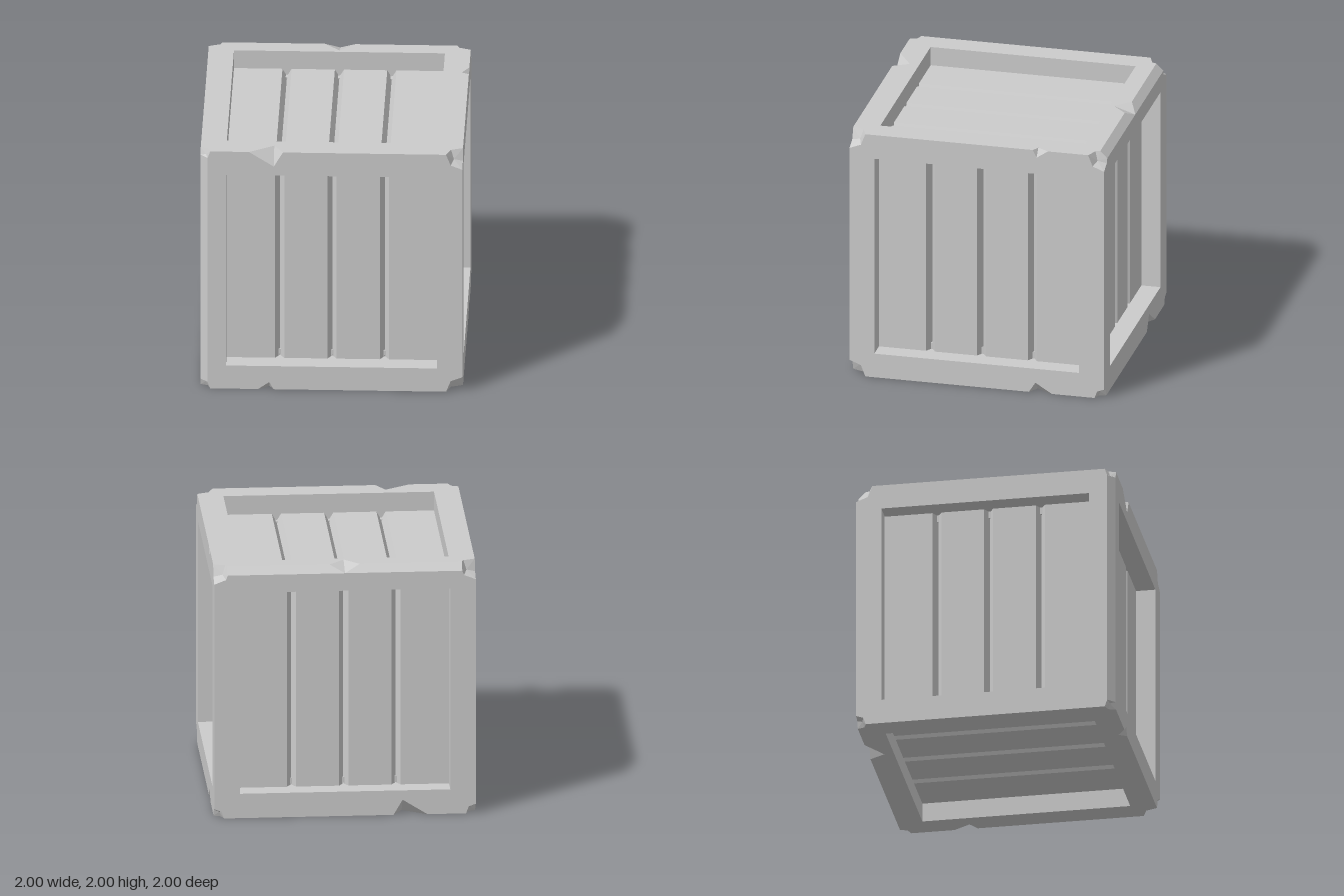
import * as THREE from 'three';

const WINDOW = 0.805; // half width of each framed opening
const RECESS = 0.15;  // depth of the panels behind the frame
const GROOVE = 0.06;  // depth of the V grooves between planks

// Edges and corners are keyed by their signs on x, y, z (0 = runs along that axis).
const bevels = { '-1,0,1': 0.055, '0,1,-1': 0.055 };
const bigChips = ['1,1,1', '1,-1,1', '1,1,-1', '-1,1,-1'];
// Edge nicks: start, deepest point, end, depth on the two faces sharing the edge
const nicks = {
  '0,1,1': [-0.63, -0.44, -0.37, 0.12, 0.12],
  '0,-1,-1': [-0.63, -0.44, -0.37, 0.12, 0.12],
  '0,-1,1': [-0.56, -0.475, -0.44, 0.06, 0.06],
  '1,1,0': [-0.56, -0.47, -0.44, 0.06, 0.055],
  '1,-1,0': [-0.59, -0.46, -0.41, 0.08, 0.08],
  '0,1,-1': [-0.115, 0, 0.115, 0.17, 0.055],
};
const SIGNS = [1, -1];

const edgeKey = (corner, axis) => corner.map((s, i) => (i === axis ? 0 : s)).join();
const chip = (corner) => (bigChips.includes(corner.join()) ? { e: 0.125, k: 0.09 } : { e: 0.075, k: 0.055 });

// Where a chipped corner meets an edge, as seen on one of the edge's faces
function edgePoint(corner, axis, face) {
  const { e, k } = chip(corner);
  const c = bevels[edgeKey(corner, axis)] || 0;
  const inset = [c, c, c];
  inset[axis] = e + (k - e) * (c / k);
  inset[face] = 0;
  return corner.map((s, i) => s * (1 - inset[i]));
}

// Inner bend of a chipped corner on a face
function bendPoint(corner, face) {
  const { k } = chip(corner);
  return corner.map((s, i) => (i === face ? s : s * (1 - k)));
}

// The three points of a nick on one face
function nickPoints(corner, axis, face) {
  const key = edgeKey(corner, axis);
  const n = nicks[key];
  if (!n) return [];
  const other = 3 - axis - face;
  const depth = n[face < other ? 3 : 4];
  const c = bevels[key] || 0;
  return [c, depth, c].map((d, j) => {
    const p = [...corner];
    p[axis] = n[j];
    p[other] *= 1 - d;
    return p;
  });
}

function createFrameGeometry() {
  const out = [];
  // Adds a triangle turned away from the centre (or towards it)
  const tri = (a, b, c, inward = false) => {
    const t = new THREE.Triangle(...[a, b, c].map((p) => new THREE.Vector3(...p)));
    if (t.getArea() < 1e-7) return;
    const facesOut = t.getNormal(new THREE.Vector3()).dot(t.getMidpoint(new THREE.Vector3())) > 0;
    out.push(...a, ...(facesOut !== inward ? [...b, ...c] : [...c, ...b]));
  };
  const quad = (a, b, c, d, inward) => { tri(a, b, c, inward); tri(a, c, d, inward); };

  // Six frame faces with a square opening and its side walls
  for (let f = 0; f < 3; f++) for (const s of SIGNS) {
    const u = (f + 1) % 3, v = (f + 2) % 3;
    const at = (x, y, w = 1) => { const p = []; p[f] = s * w; p[u] = x; p[v] = y; return p; };
    const outline = [];
    [[1, 1], [-1, 1], [-1, -1], [1, -1]].forEach(([x, y], i) => {
      const corner = at(x, y);
      const [arrive, leave] = i % 2 ? [u, v] : [v, u];
      outline.push(edgePoint(corner, arrive, f), bendPoint(corner, f), edgePoint(corner, leave, f));
      const pts = nickPoints(corner, leave, f);
      outline.push(...(corner[leave] > 0 ? pts.reverse() : pts));
    });
    const flat = outline.map((p) => new THREE.Vector2(p[u], p[v]))
      .filter((p, i, all) => p.distanceTo(all[(i + 1) % all.length]) > 1e-5);
    const hole = [[1, 1], [1, -1], [-1, -1], [-1, 1]].map(([x, y]) => new THREE.Vector2(x * WINDOW, y * WINDOW));
    const all = [...flat, ...hole].map((p) => at(p.x, p.y));
    for (const [a, b, c] of THREE.ShapeUtils.triangulateShape(flat, [hole])) tri(all[a], all[b], all[c]);
    const low = 1 - RECESS - GROOVE;
    hole.forEach((p, i) => {
      const q = hole[(i + 1) % 4];
      quad(at(p.x, p.y), at(q.x, q.y), at(q.x, q.y, low), at(p.x, p.y, low), true);
    });
  }

  // Chipped corners: a fan around a slightly raised middle
  for (const x of SIGNS) for (const y of SIGNS) for (const z of SIGNS) {
    const corner = [x, y, z];
    const ring = [0, 1, 2].flatMap((f) => [
      edgePoint(corner, (f + 1) % 3, f), bendPoint(corner, f), edgePoint(corner, (f + 2) % 3, f),
    ]);
    const mid = corner.map((s) => s * (1 - 0.75 * chip(corner).k));
    ring.forEach((p, i) => tri(mid, p, ring[(i + 1) % ring.length]));
  }

  // Nicks and bevels along the edges
  for (const key of new Set([...Object.keys(nicks), ...Object.keys(bevels)])) {
    const signs = key.split(',').map(Number);
    const axis = signs.indexOf(0);
    const [p, q] = [0, 1, 2].filter((i) => i !== axis);
    const [start, end] = [-1, 1].map((s) => signs.map((w, i) => (i === axis ? s : w)));
    const [n0, n1, n2] = nickPoints(end, axis, p);
    const m1 = nickPoints(end, axis, q)[1];
    if (n0) { tri(n0, n1, m1); tri(n1, n2, m1); }
    if (!bevels[key]) continue;
    const [a, b] = [start, end].map((c) => edgePoint(c, axis, p));
    const [c, d] = [start, end].map((w) => edgePoint(w, axis, q));
    if (n0) { quad(a, n0, m1, c); quad(n2, b, d, m1); } else quad(a, b, d, c);
  }

  const geo = new THREE.BufferGeometry();
  geo.setAttribute('position', new THREE.Float32BufferAttribute(out, 3));
  geo.computeVertexNormals();
  return geo;
}

// Four planks separated by V grooves, facing up, running along z
function createPanelGeometry() {
  const top = 1 - RECESS, half = 0.035;
  const shape = new THREE.Shape();
  shape.moveTo(-WINDOW, top - 0.1);
  shape.lineTo(WINDOW, top - 0.1);
  shape.lineTo(WINDOW, top);
  for (const x of [0.4, 0, -0.4]) {
    shape.lineTo(x + half, top);
    shape.lineTo(x, top - GROOVE);
    shape.lineTo(x - half, top);
  }
  shape.lineTo(-WINDOW, top);
  const geo = new THREE.ExtrudeGeometry(shape, { depth: 2 * WINDOW, bevelEnabled: false });
  return geo.translate(0, 0, -WINDOW);
}

export function createModel() {
  const group = new THREE.Group();
  group.name = 'crate';
  const material = new THREE.MeshStandardMaterial({ color: 0xcccccc, flatShading: true });
  const add = (name, geometry) => {
    const mesh = new THREE.Mesh(geometry, material);
    mesh.name = name;
    mesh.position.y = 1;
    group.add(mesh);
    return mesh;
  };

  add('frame', createFrameGeometry());

  // One plank panel per side
  const panel = createPanelGeometry();
  const Q = Math.PI / 2;
  const sides = {
    topPanel: [0, 0], bottomPanel: [2 * Q, 0], frontPanel: [Q, 0],
    backPanel: [Q, 2 * Q], leftPanel: [Q, Q], rightPanel: [Q, -Q],
  };
  for (const [name, [tilt, turn]] of Object.entries(sides)) {
    add(name, panel).rotation.set(tilt, turn, 0, 'YXZ');
  }
  return group;
}
